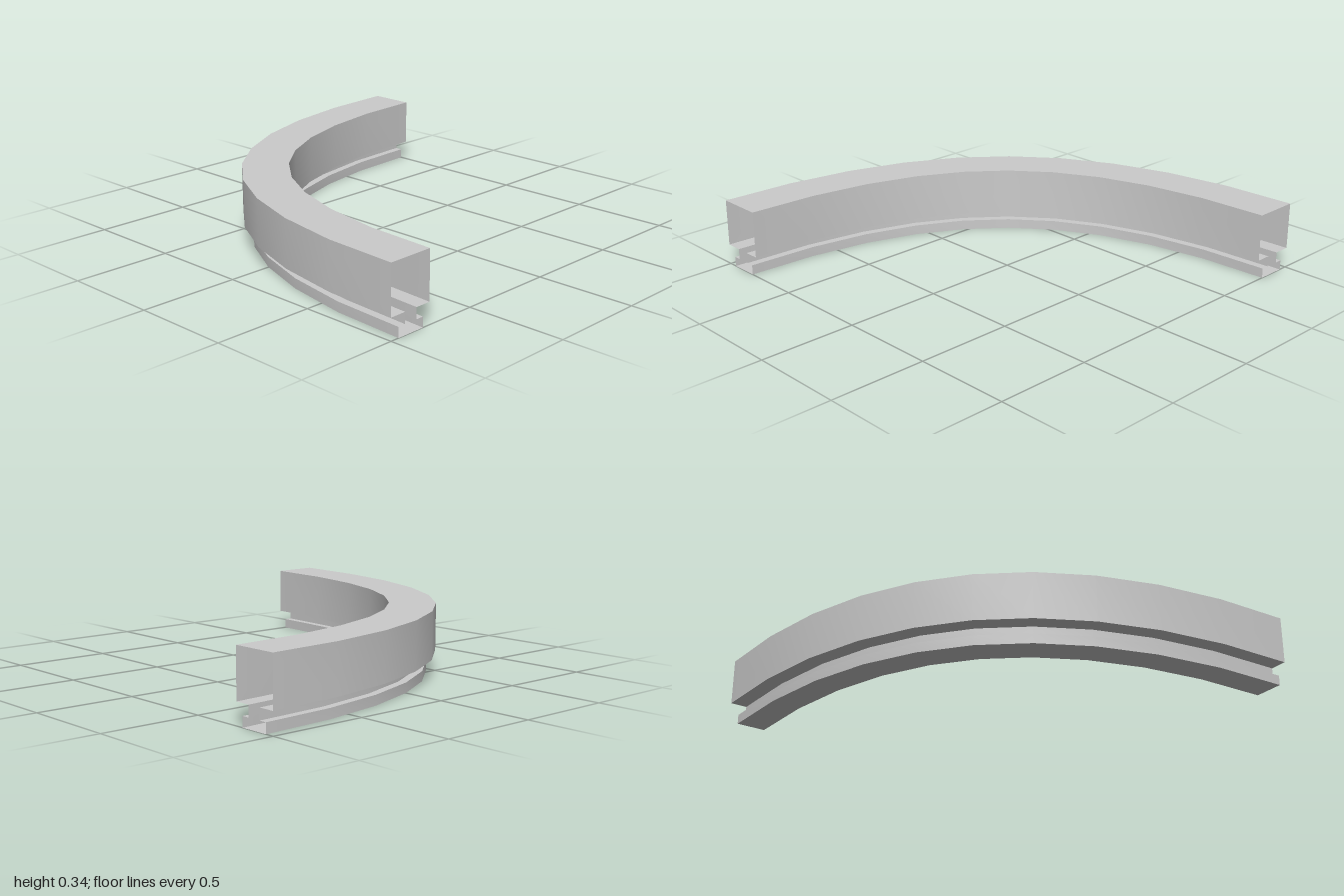
import * as THREE from 'three';

const SEGMENTS = 10;

// Sweep path in plan (x, z): a quarter bend along the outer edge
const path = new THREE.QuadraticBezierCurve(
  new THREE.Vector2(-1, 1), new THREE.Vector2(-1, -1), new THREE.Vector2(1, -1));

// Sweeps an open profile of [inward offset, height] points along the bend.
// Each profile edge has its own vertices: smooth along the bend, sharp across it.
function sweep(profile) {
  const positions = [], indices = [];
  for (let e = 0; e < profile.length - 1; e++) {
    const start = positions.length / 3;
    for (let i = 0; i <= SEGMENTS; i++) {
      const t = i / SEGMENTS;
      const p = path.getPoint(t), dir = path.getTangent(t);
      for (const [d, y] of [profile[e], profile[e + 1]]) {
        positions.push(p.x - dir.y * d, y, p.y + dir.x * d);
      }
      if (i < SEGMENTS) {
        const a = start + i * 2;
        indices.push(a, a + 2, a + 1, a + 1, a + 2, a + 3);
      }
    }
  }
  const geometry = new THREE.BufferGeometry();
  geometry.setAttribute('position', new THREE.Float32BufferAttribute(positions, 3));
  geometry.setIndex(indices);
  geometry.computeVertexNormals();
  return geometry;
}

export function createModel() {
  const group = new THREE.Group();
  group.name = 'curvedRail';
  const material = new THREE.MeshStandardMaterial({ color: 0xcccccc, side: THREE.DoubleSide });

  const add = (name, profile) => {
    const mesh = new THREE.Mesh(sweep(profile), material);
    mesh.name = name;
    group.add(mesh);
  };

  // Hollow box channel, slotted underneath and open at both ends
  add('channel', [[0.155, 0.105], [0.235, 0.105], [0.235, 0.345], [0, 0.345], [0, 0.105], [0.085, 0.105]]);

  // Two thin walls joining the channel to the foot
  add('outerNeckWall', [[0.085, 0.105], [0.085, 0.05]]);
  add('innerNeckWall', [[0.155, 0.05], [0.155, 0.105]]);

  // Flat hollow foot, slotted on top
  add('foot', [[0.085, 0.05], [0.045, 0.05], [0.045, 0], [0.195, 0], [0.195, 0.05], [0.155, 0.05]]);

  return group;
}
